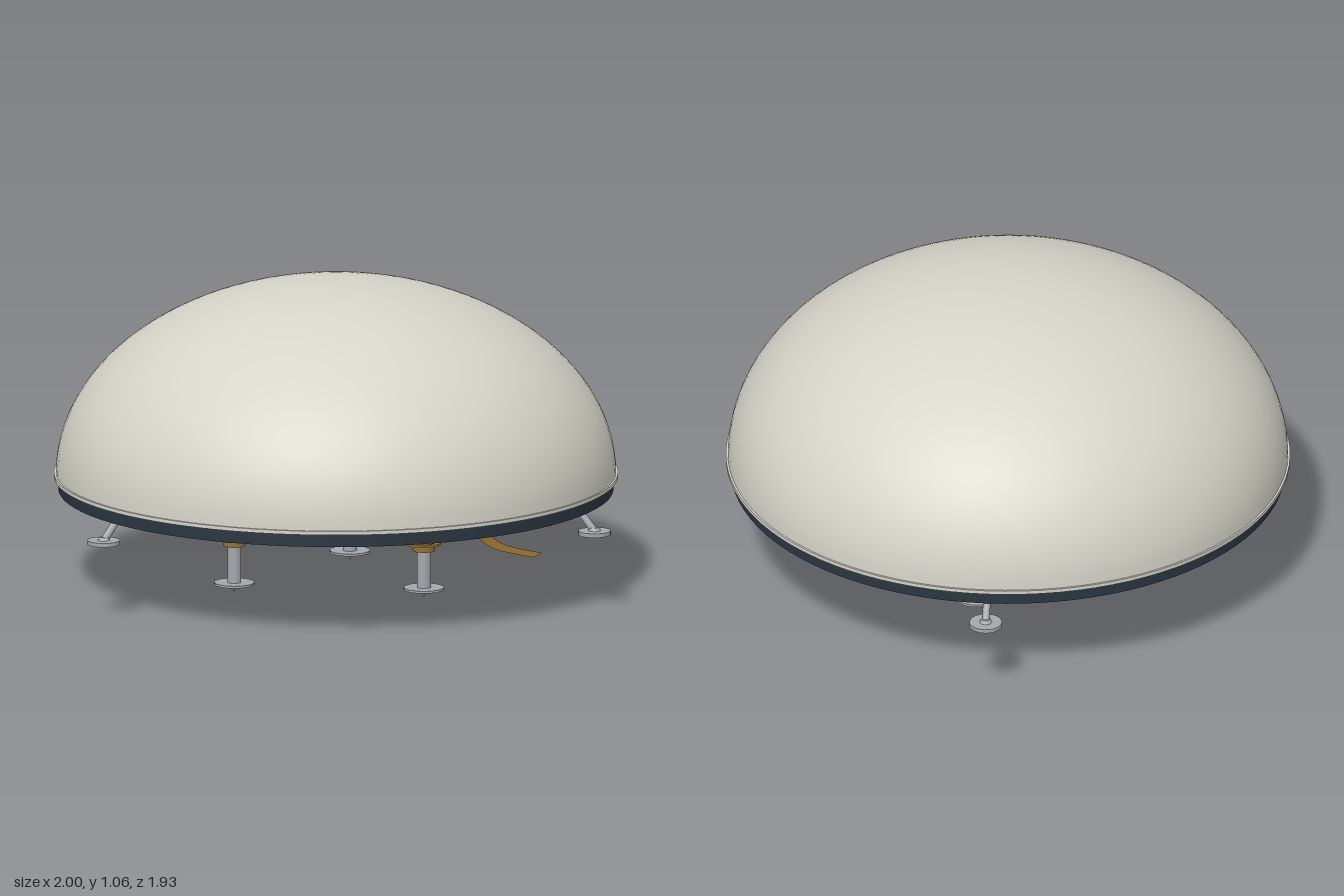
import * as THREE from 'three';
import { toCreasedNormals } from 'three/addons/utils/BufferGeometryUtils.js';

const mat = (name, color, side = THREE.FrontSide) => {
  const m = new THREE.MeshStandardMaterial({ color, side });
  m.name = name;
  return m;
};

export function createModel() {
  const cream = mat('cream shell', 0xd6d4c8, THREE.DoubleSide);
  const navy = mat('navy skirt', 0x2a3641);
  const silver = mat('silver metal', 0xa4a8ac);
  const grey = mat('grey sphere', 0x8e9196);
  const gold = mat('gold metal', 0x9a7636);
  const tape = mat('gold tape', 0x8a6828, THREE.DoubleSide);
  const orange = mat('orange cover', 0xbb5c38, THREE.DoubleSide);

  const root = new THREE.Group();
  root.name = 'domedInstrument';
  const body = new THREE.Group();
  body.name = 'body';
  body.position.x = -0.035;
  root.add(body);

  const add = (parent, name, geo, material, x = 0, y = 0, z = 0) => {
    const m = new THREE.Mesh(geo, material);
    m.name = name;
    m.position.set(x, y, z);
    parent.add(m);
    return m;
  };
  const lathe = (pts, seg = 72) =>
    new THREE.LatheGeometry(pts.map(([r, y]) => new THREE.Vector2(r, y)), seg);
  const ring = (ri, ro, y0, y1, seg = 72) =>
    toCreasedNormals(lathe([[ri, y0], [ro, y0], [ro, y1], [ri, y1], [ri, y0]], seg), 0.6);
  const cyl = (r0, r1, h, seg = 24) => new THREE.CylinderGeometry(r1, r0, h, seg);
  const rod = (parent, name, a, b, r, material) => {
    const d = b.clone().sub(a);
    const m = add(parent, name, cyl(r, r, d.length(), 12), material);
    m.position.copy(a).addScaledVector(d, 0.5);
    m.quaternion.setFromUnitVectors(new THREE.Vector3(0, 1, 0), d.normalize());
  };

  // Elliptical dome, outer and inner surface
  const domeProfile = (r, h) => {
    const pts = [];
    for (let i = 0; i <= 32; i++) {
      const a = (i / 32) * Math.PI / 2;
      pts.push([i === 32 ? 0 : r * Math.cos(a), 0.385 + h * Math.sin(a)]);
    }
    return pts;
  };
  add(body, 'domeOuter', lathe(domeProfile(0.96, 0.676), 96), cream);
  add(body, 'domeInner', lathe(domeProfile(0.945, 0.66).reverse(), 96), cream);
  add(body, 'domeRim', ring(0.94, 0.967, 0.375, 0.388, 96), cream);
  add(body, 'skirt', ring(0.87, 0.951, 0.33, 0.376, 96), navy);

  // Three splayed feet around the skirt
  for (let i = 0; i < 3; i++) {
    const foot = new THREE.Group();
    foot.name = 'domeFoot';
    foot.rotation.y = i * Math.PI * 2 / 3;
    body.add(foot);
    add(foot, 'footPad', cyl(0.056, 0.056, 0.014, 32), silver, 0.975, 0.264);
    add(foot, 'footJoint', cyl(0.022, 0.014, 0.012), silver, 0.975, 0.276);
    rod(foot, 'footStrut', new THREE.Vector3(0.972, 0.272, 0),
      new THREE.Vector3(0.91, 0.345, 0), 0.013, silver);
  }

  // Inner cover, open below
  add(body, 'innerCover', toCreasedNormals(lathe([[0.475, 0.315], [0.475, 0.53],
    [0.4, 0.84], [0.33, 0.88], [0, 0.9]], 48), 0.5), orange);
  add(body, 'coverFlange', ring(0.455, 0.484, 0.312, 0.326), orange);
  add(body, 'coverTrim', ring(0.445, 0.472, 0.302, 0.313), gold);

  // Levelling ring and central sphere
  add(body, 'levellingRing', ring(0.285, 0.405, 0.268, 0.294), gold);
  const sphere = add(body, 'sphere', new THREE.SphereGeometry(0.295, 48, 32), grey, 0, 0.49, 0);
  sphere.scale.y = 1;
  add(body, 'sphereBand', ring(0.27, 0.31, 0.45, 0.48), silver);

  // Equipment boxes around the sphere
  for (let i = 0; i < 9; i++) {
    const bay = new THREE.Group();
    bay.name = 'equipmentBay';
    bay.rotation.y = i * Math.PI * 2 / 9 + 0.12;
    body.add(bay);
    add(bay, 'equipmentBox', new THREE.BoxGeometry(0.08, 0.13, 0.13), silver, 0.365, 0.4, 0);
  }

  // Three levelling legs with bellows
  for (let i = 0; i < 3; i++) {
    const a = THREE.MathUtils.degToRad(12.5 + i * 120);
    const leg = new THREE.Group();
    leg.name = 'levellingLeg';
    leg.position.set(0.378 * Math.cos(a), 0, 0.378 * Math.sin(a));
    body.add(leg);
    add(leg, 'spike', cyl(0.001, 0.009, 0.026, 12), silver, 0, 0.013);
    add(leg, 'legPad', cyl(0.069, 0.069, 0.008, 32), silver, 0, 0.03);
    add(leg, 'legStrut', cyl(0.024, 0.024, 0.14), silver, 0, 0.1);
    add(leg, 'legCollar', cyl(0.038, 0.042, 0.04), gold, 0, 0.182);
    add(leg, 'bellowsCore', cyl(0.042, 0.042, 0.08), gold, 0, 0.23);
    for (let k = 0; k < 5; k++)
      add(leg, 'bellowsFold', cyl(0.059, 0.059, 0.008, 32), gold, 0, 0.187 + k * 0.0175);
    add(leg, 'legColumn', cyl(0.036, 0.036, 0.2), gold, 0, 0.37);
  }

  // Cable connector plates
  const plates = [[0.43, 0.284, 0.11, 0.12, 0.09], [0.545, 0.287, 0.13, 0.08, 0.07]];
  for (const [x, y, z, w, d] of plates) {
    const p = add(root, 'connectorPlate', new THREE.BoxGeometry(w, 0.012, d), silver, x, y, z);
    p.rotation.y = -0.2;
  }

  // Flat cable tape: a strip swept along a curve
  const path = new THREE.CatmullRomCurve3([[0.36, 0.29, 0.1], [0.5, 0.282, 0.12],
    [0.56, 0.245, 0.11], [0.62, 0.208, 0.1], [0.69, 0.199, 0.11], [0.787, 0.196, 0.13]]
    .map(p => new THREE.Vector3(...p)));
  const strip = new THREE.PlaneGeometry(1, 1, 24, 1);
  const pos = strip.attributes.position;
  for (let i = 0; i < pos.count; i++) {
    const p = path.getPoint(pos.getX(i) + 0.5);
    pos.setXYZ(i, p.x, p.y, p.z - pos.getY(i) * 0.08);
  }
  strip.computeVertexNormals();
  add(root, 'cableTape', strip, tape);

  return root;
}
